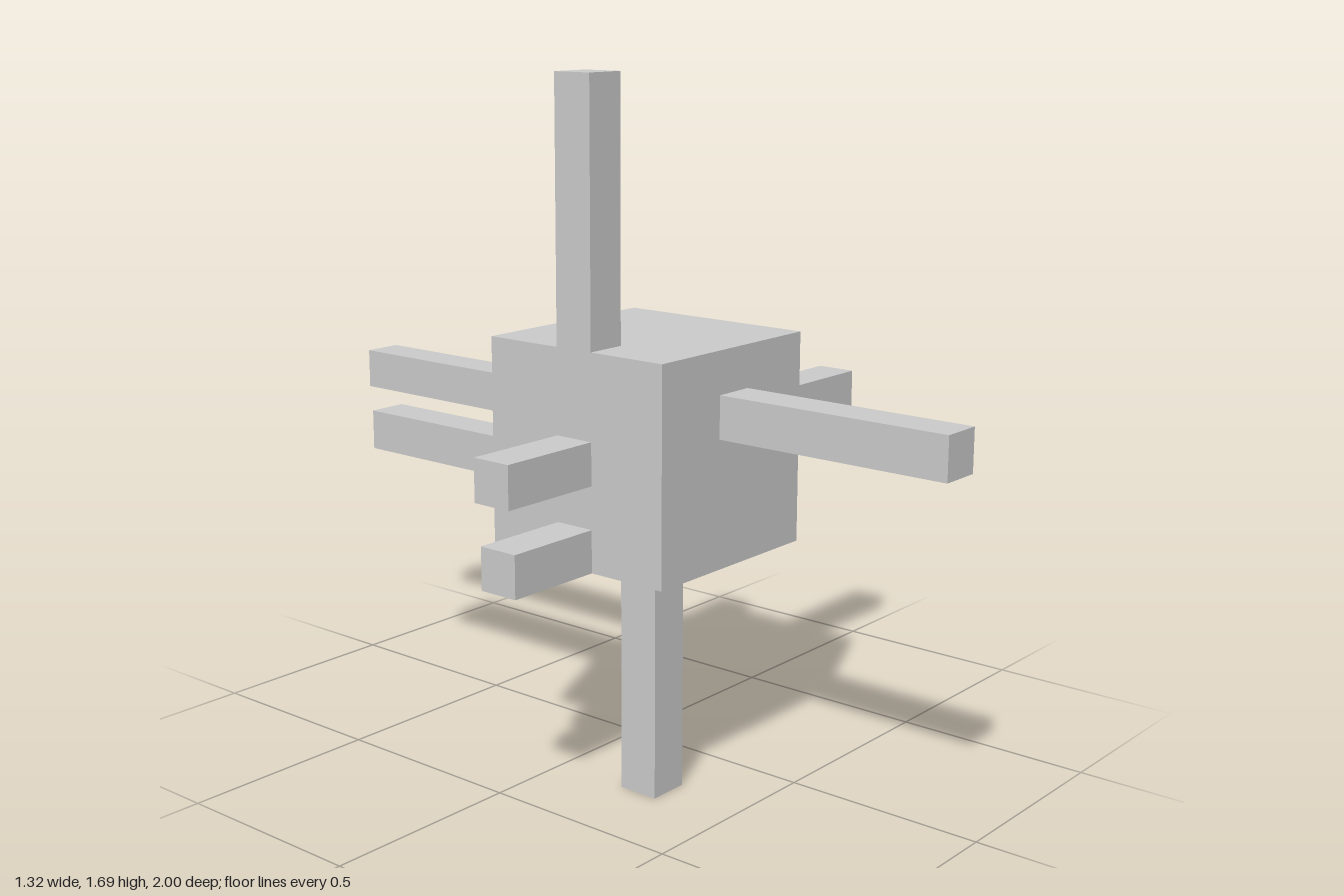
import * as THREE from 'three';

export function createModel() {
  const model = new THREE.Group();
  const material = new THREE.MeshStandardMaterial({ color: 0xcccccc, flatShading: true });

  // Box spanning the given [min, max] range on each axis
  function addBox(name, x, y, z) {
    const spans = [x, y, z];
    const mesh = new THREE.Mesh(
      new THREE.BoxGeometry(...spans.map(([a, b]) => b - a)), material);
    mesh.position.set(...spans.map(([a, b]) => (a + b) / 2));
    mesh.name = name;
    model.add(mesh);
  }

  // The core is a cube of 5 x 5 x 5 cells; each bar is one cell thick
  const cell = 0.103;
  const X = [-0.39, 0.125], Y = [0.56, 1.075], Z = [-0.11, 0.405];
  const slot = ([start], i) => [start + i * cell, start + (i + 1) * cell];

  addBox('core', X, Y, Z);

  // Bars standing out from the faces of the core
  addBox('topBar', slot(X, 0), [Y[1], 1.69], slot(Z, 2));
  addBox('bottomBar', slot(X, 1), [0, Y[0]], slot(Z, 3));
  addBox('leftBar', [X[1], 0.66], slot(Y, 2), slot(Z, 2));
  addBox('upperRightBar', [-0.66, X[0]], slot(Y, 2), slot(Z, 2));
  addBox('lowerRightBar', [-0.643, X[0]], slot(Y, 0), slot(Z, 2));
  addBox('frontBar', slot(X, 2), slot(Y, 3), [Z[1], 1]);
  addBox('longBackBar', slot(X, 4), slot(Y, 2), [-1, Z[0]]);
  addBox('shortBackBar', slot(X, 2), slot(Y, 1), [-0.76, Z[0]]);

  return model;
}
